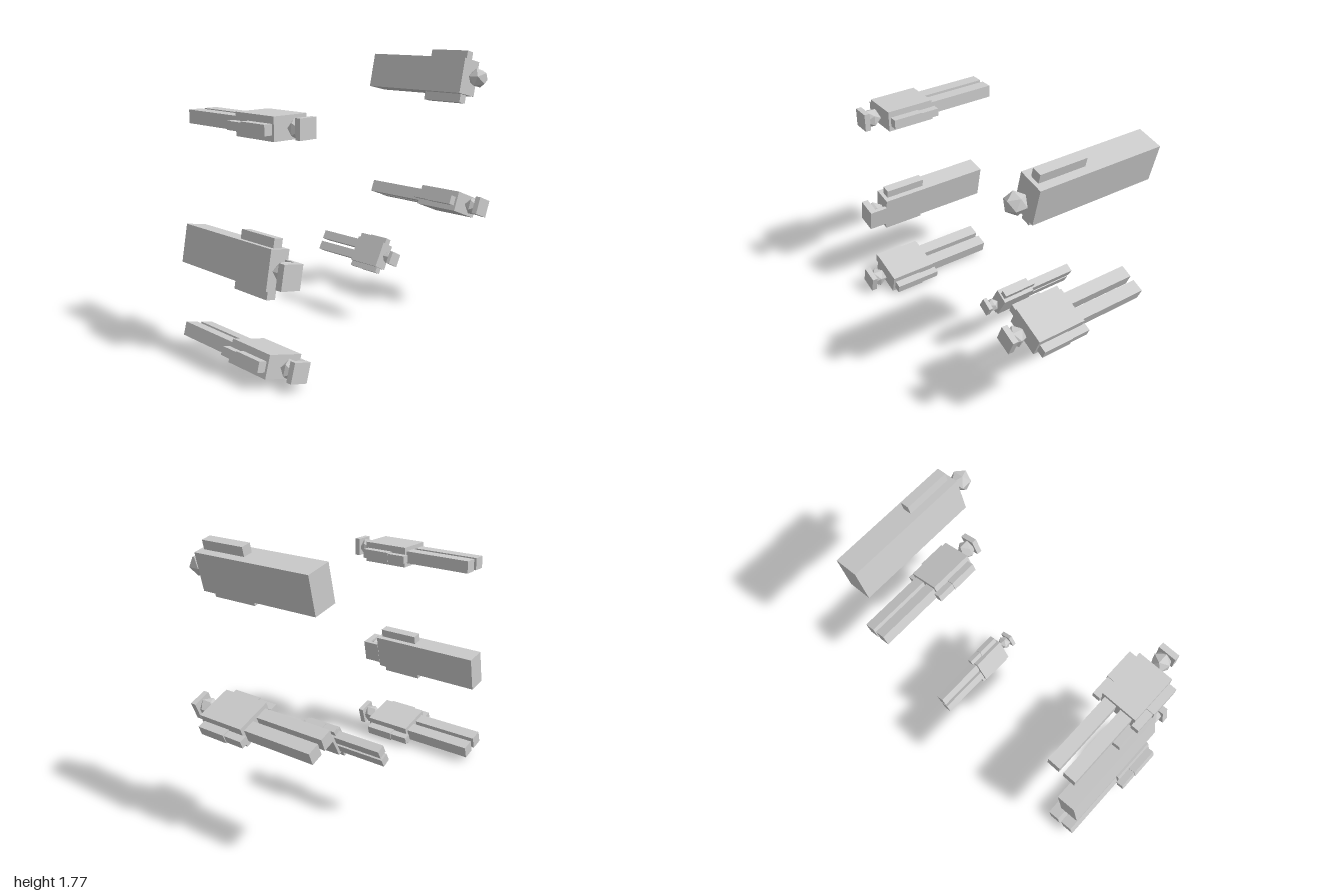
import * as THREE from 'three';

const grey = new THREE.MeshStandardMaterial({ color: 0xcccccc, flatShading: true });

// Box given by its size and centre
function box(name, w, h, d, x, y, z) {
  const mesh = new THREE.Mesh(new THREE.BoxGeometry(w, h, d), grey);
  mesh.name = name;
  mesh.position.set(x, y, z);
  return mesh;
}

function head(r, z) {
  const mesh = new THREE.Mesh(new THREE.IcosahedronGeometry(r, 0), grey);
  mesh.name = 'head';
  mesh.rotation.z = Math.PI / 2;
  mesh.position.z = z;
  return mesh;
}

// Floating figure lying along z: head toward +z, hips at z = 0, chest toward +y
function trouserFigure() {
  const g = new THREE.Group();
  g.add(box('torso', 0.23, 0.133, 0.315, 0, 0, 0.1575));
  for (const s of [-1, 1]) {
    g.add(box('leg', 0.08, 0.08, 0.465, s * 0.055, 0, -0.2325));
    g.add(box('upperArm', 0.055, 0.06, 0.195, s * 0.1385, -0.003, 0.2025));
    g.add(box('forearm', 0.049, 0.05, 0.125, s * 0.1365, -0.005, 0.0425));
  }
  g.add(head(0.063, 0.38));
  g.add(box('flatCap', 0.115, 0.115, 0.036, 0, 0.005, 0.433));
  return g;
}

function robeFigure(thickness, front, headZ, armFront) {
  const g = new THREE.Group();
  g.add(box('robe', 0.23, thickness, front + 0.47, 0, 0, (front - 0.47) / 2));
  for (const s of [-1, 1]) {
    g.add(box('arm', 0.055, 0.06, armFront, s * 0.1425, 0, armFront / 2));
  }
  g.add(head(0.066, headZ));
  return g;
}

export function createModel() {
  const model = new THREE.Group();
  model.name = 'floatingFigures';

  const place = (name, figure, x, y, z, degrees, scale = 1) => {
    figure.name = name;
    figure.position.set(x, y, z);
    figure.rotation.z = THREE.MathUtils.degToRad(degrees);
    figure.scale.setScalar(scale);
    model.add(figure);
  };

  // Four figures in trousers, one of them a child
  place('upperFigure', trouserFigure(), -0.735, 1.415, -0.005, 0);
  place('sideFigure', trouserFigure(), 0.83, 0.738, 0, -22);
  place('lowerFigure', trouserFigure(), -0.825, 0.1, 0, -16, 1.03);
  place('childFigure', trouserFigure(), 0.255, 0.45, -0.135, 62, 0.71);

  // Robed figure with a bare head
  place('bareHeadedFigure', robeFigure(0.16, 0.32, 0.39, 0.295), 0.815, 1.595, 0, 77);

  // Robed figure with hair over the crown and the nape
  const haired = robeFigure(0.13, 0.305, 0.36, 0.28);
  haired.add(box('crownHair', 0.145, 0.135, 0.045, -0.015, 0, 0.4025));
  haired.add(box('backHair', 0.145, 0.025, 0.12, -0.015, -0.055, 0.365));
  place('hairedFigure', haired, -0.837, 0.653, 0, 79);

  return model;
}
